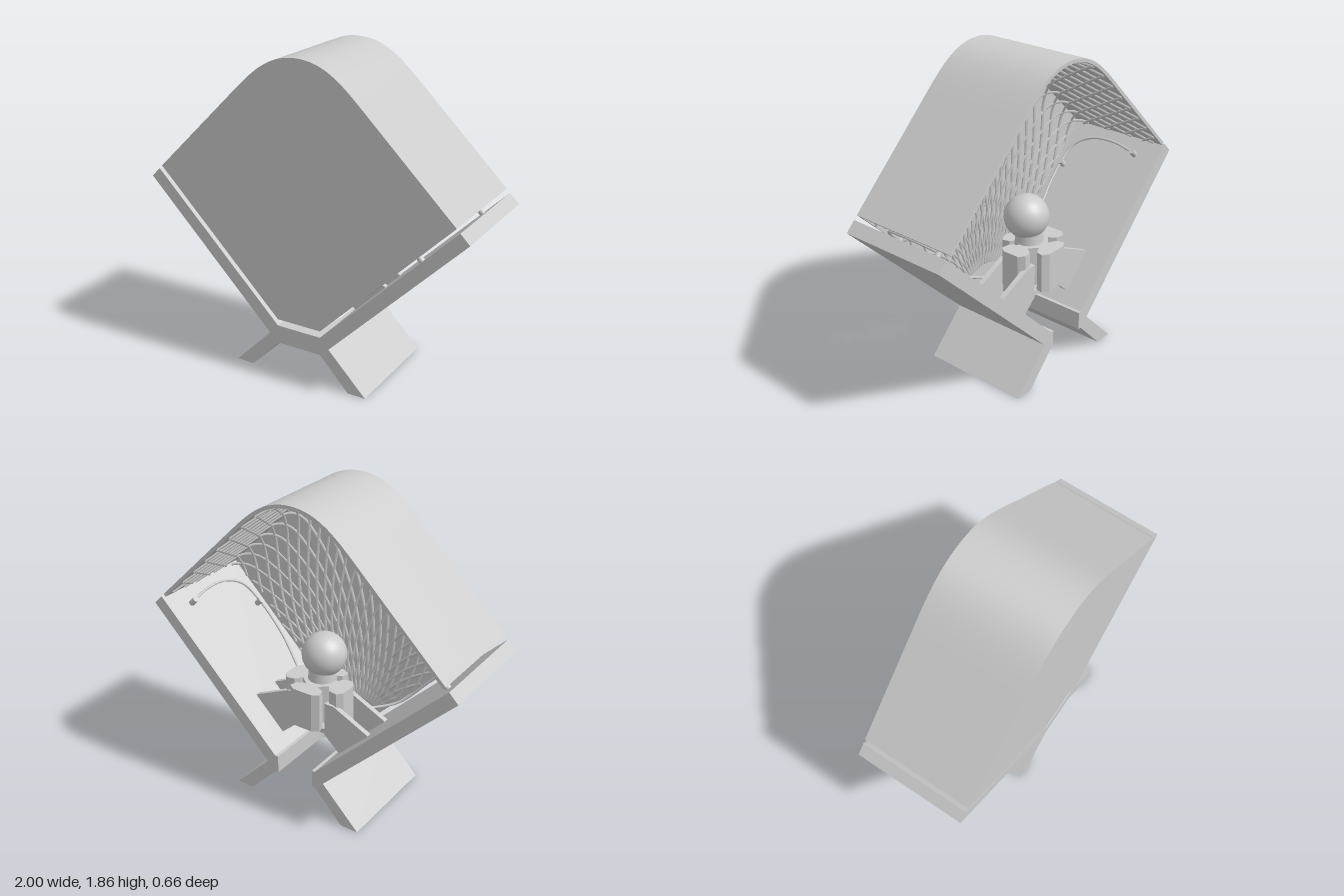
import * as THREE from 'three';
import { mergeGeometries, toCreasedNormals } from 'three/addons/utils/BufferGeometryUtils.js';

const V2 = (x, y) => new THREE.Vector2(x, y);
const V3 = (x, y, z) => new THREE.Vector3(x, y, z);
const grey = new THREE.MeshStandardMaterial({ color: 0xcccccc, side: THREE.DoubleSide });

function add(parent, name, geometry) {
  const mesh = new THREE.Mesh(geometry, grey);
  mesh.name = name;
  parent.add(mesh);
  return mesh;
}

const shapeOf = pts => new THREE.Shape(pts.map(p => (p.isVector2 ? p : V2(p[0], p[1]))));

// Front profile pushed along z, from z0 to z1
function slab(pts, z0, z1) {
  const g = new THREE.ExtrudeGeometry(shapeOf(pts), { depth: z1 - z0, bevelEnabled: false });
  return toCreasedNormals(g.translate(0, 0, z0), 0.5);
}

// Plan profile (x, -z) pushed upwards, from y0 to y1
function prism(shape, y0, y1) {
  const g = new THREE.ExtrudeGeometry(shape, { depth: y1 - y0, bevelEnabled: false, curveSegments: 20 });
  return toCreasedNormals(g.rotateX(-Math.PI / 2).translate(0, y0, 0), 0.5);
}

// Arched outline of the shade, from its right corner over the top to its left corner
const outline = new THREE.CurvePath();
outline.add(new THREE.LineCurve(V2(-0.925, 1.125), V2(-0.38, 1.655)));
outline.add(new THREE.CubicBezierCurve(V2(-0.38, 1.655), V2(-0.26, 1.77), V2(-0.16, 1.86), V2(0, 1.86)));
outline.add(new THREE.CubicBezierCurve(V2(0, 1.86), V2(0.16, 1.86), V2(0.26, 1.77), V2(0.38, 1.655)));
outline.add(new THREE.LineCurve(V2(0.38, 1.655), V2(0.925, 1.125)));

function inset(u, d) {
  const p = outline.getPointAt(u);
  const a = outline.getPointAt(Math.max(0, u - 0.005));
  const b = outline.getPointAt(Math.min(1, u + 0.005));
  const t = b.sub(a).normalize();
  return V2(p.x + t.y * d, p.y - t.x * d);
}

// Lining surface: u runs along the arch, s runs from the back rim, round the corner, down the front panel
const WALL = 0.5, R = 0.1, TURN = R * Math.PI / 2, DROP = 0.78;
function lining(u, s) {
  let z = -0.315 + s * 1.04, d = 0;
  if (s > WALL) {
    const a = Math.min((s - WALL) / R, Math.PI / 2);
    z = 0.205 + Math.sin(a) * R;
    d = R * (1 - Math.cos(a)) + Math.max(0, s - WALL - TURN);
  }
  const p = inset(u, 0.024);
  p.lerp(V2(p.x * 0.15, 0.36), d / (R + DROP));
  return V3(p.x, p.y, z);
}

// Crossing diagonal ribs
function ribs() {
  const length = outline.getLength(), total = WALL + TURN + DROP * 0.93, list = [];
  for (const dir of [-1, 1]) {
    for (let start = -1.4; start < length + 1.4; start += 0.125) {
      const pts = [];
      for (let i = 0; i <= 36; i++) {
        const s = total * i / 36, u = (start + dir * s * 0.85) / length;
        if (u >= 0 && u <= 1) pts.push(lining(u, s));
      }
      if (pts.length > 2) {
        list.push(new THREE.TubeGeometry(new THREE.CatmullRomCurve3(pts), pts.length * 2, 0.009, 4));
      }
    }
  }
  return mergeGeometries(list);
}

function buildShade() {
  const shade = new THREE.Group();
  shade.name = 'shade';
  const outer = [], inner = [];
  for (let i = 0; i <= 80; i++) {
    outer.push(inset(i / 80, 0));
    inner.unshift(inset(i / 80, 0.02));
  }
  add(shade, 'archedWall', slab([...outer, ...inner], -0.33, 0.31));
  add(shade, 'frontPanel', slab([...outer, [0.14, 0.34], [-0.14, 0.34]], 0.31, 0.33));
  add(shade, 'latticeRibs', ribs());
  return shade;
}

function buildStand() {
  const stand = new THREE.Group();
  stand.name = 'stand';

  // Arm and foot on each side
  for (const m of [-1, 1]) {
    const side = [[0.14, 0.30], [0.945, 1.105], [1, 1.05], [0.195, 0.24], [0.43, 0], [0.32, 0], [0.14, 0.19]];
    add(stand, m > 0 ? 'leftArmAndFoot' : 'rightArmAndFoot', slab(side.map(([x, y]) => [m * x, y]), -0.33, 0.33));
  }

  // Bridge with a round-ended slot open at the back
  const plan = new THREE.Shape();
  plan.moveTo(-0.15, -0.33);
  plan.lineTo(0.15, -0.33);
  plan.lineTo(0.15, 0.33);
  plan.lineTo(0.12, 0.33);
  plan.lineTo(0.12, -0.06);
  plan.absarc(0, -0.06, 0.12, 0, Math.PI, true);
  plan.lineTo(-0.12, 0.33);
  plan.lineTo(-0.15, 0.33);
  add(stand, 'bridge', prism(plan, 0.19, 0.30));
  return stand;
}

function buildLamp() {
  const lamp = new THREE.Group();
  lamp.name = 'lamp';
  const zc = -0.08;

  // Holder with four flared lobes
  const lobes = [];
  for (let k = 0; k < 4; k++) {
    for (const [x, y] of [[0.09, -0.04], [0.12, -0.09], [0.17, -0.1], [0.2, -0.06],
      [0.2, 0.06], [0.17, 0.1], [0.12, 0.09], [0.09, 0.04]]) {
      const p = V2(x, y).rotateAround(V2(0, 0), k * Math.PI / 2);
      lobes.push(V2(p.x, p.y * 0.85 - zc));
    }
  }
  add(lamp, 'holder', prism(shapeOf(lobes), 0.5, 0.74));

  // Neck and bulb
  add(lamp, 'neck', new THREE.CylinderGeometry(0.075, 0.085, 0.1, 24)).position.set(0, 0.77, -0.05);
  add(lamp, 'bulb', new THREE.SphereGeometry(0.13, 32, 20)).position.set(0, 0.885, -0.03);

  // Gussets tying the holder to both arms
  for (const m of [-1, 1]) {
    const tri = [[0.1, 0.66], [0.16, 0.66], [0.39, 0.55], [0.2, 0.36], [0.1, 0.45]];
    for (const z of [-0.16, 0.02]) {
      add(lamp, 'gusset', slab(tri.map(([x, y]) => [m * x, y]), z - 0.015, z + 0.015));
    }
  }
  add(lamp, 'crossPlate', new THREE.BoxGeometry(0.34, 0.03, 0.2)).position.set(0, 0.47, -0.07);
  return lamp;
}

// Cable, clips and pegs along one arm; m mirrors it
function buildCable(m) {
  const cable = new THREE.Group();
  cable.name = m > 0 ? 'leftCable' : 'rightCable';
  const onArm = (x, z, lift = 0.035) => V3(m * (x - lift * 0.7), x + 0.16 + lift * 0.7, z);
  const path = new THREE.CatmullRomCurve3([
    onArm(0.86, -0.17), onArm(0.88, -0.02), onArm(0.87, 0.14), onArm(0.82, 0.24),
    onArm(0.72, 0.27), onArm(0.55, 0.26), onArm(0.38, 0.2), V3(m * 0.16, 0.53, 0.04)]);
  add(cable, 'wire', new THREE.TubeGeometry(path, 60, 0.008, 8));
  for (const [x, z] of [[0.86, -0.17], [0.72, 0.27]]) {
    const peg = add(cable, 'peg', new THREE.CylinderGeometry(0.018, 0.018, 0.06, 16));
    peg.position.copy(onArm(x, z, 0.02));
    peg.rotation.z = m * Math.PI / 4;
  }
  return cable;
}

export function createModel() {
  const model = new THREE.Group();
  model.name = 'tableLamp';
  model.add(buildStand(), buildShade(), buildLamp(), buildCable(1), buildCable(-1));
  return model;
}
